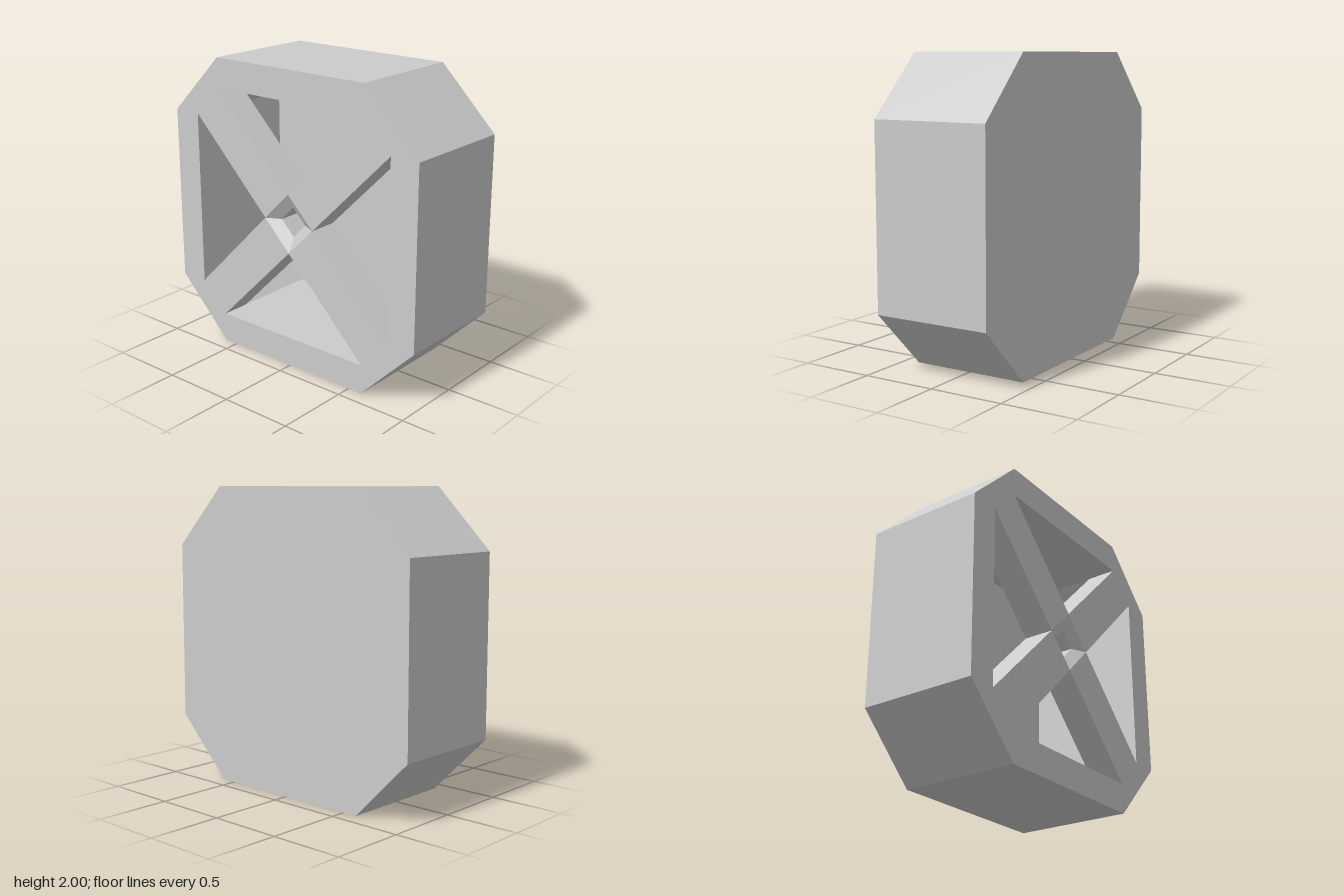
import * as THREE from 'three';

const HALF_DEPTH = 0.4;
const PLATE = 0.2; // thickness of the front cross

// Corners of a square with cut corners: half-width w, flat half-length f
const octagon = (w, f) => [
  [f, -w], [w, -f], [w, f], [f, w], [-f, w], [-w, f], [-w, -f], [-f, -w],
].map(([x, y]) => new THREE.Vector2(x, y));

export function createModel() {
  const group = new THREE.Group();
  const grey = new THREE.MeshStandardMaterial({ color: 0xcccccc, flatShading: true });
  const thin = new THREE.MeshStandardMaterial({ color: 0xcccccc, flatShading: true, side: THREE.DoubleSide });

  const add = (name, geometry, material = grey) => {
    const mesh = new THREE.Mesh(geometry, material);
    mesh.name = name;
    mesh.position.y = 1;
    group.add(mesh);
    return mesh;
  };

  // Hollow eight-sided rim, full depth
  const rimShape = new THREE.Shape(octagon(1, 0.6));
  rimShape.holes.push(new THREE.Path(octagon(0.8, 0.6)));
  const rim = new THREE.ExtrudeGeometry(rimShape, { depth: 2 * HALF_DEPTH, bevelEnabled: false });
  rim.translate(0, 0, -HALF_DEPTH);
  add('rim', rim);

  // Thin sheet closing the back
  const back = new THREE.ShapeGeometry(new THREE.Shape(octagon(0.8, 0.6)));
  back.translate(0, 0, -HALF_DEPTH);
  add('backPanel', back, thin);

  // Four diagonal bars of the front cross, from the hub to the rim's cut corners
  const inner = 0.1 * Math.SQRT2, outer = 0.7 * Math.SQRT2;
  for (let i = 0; i < 4; i++) {
    const bar = new THREE.BoxGeometry(outer - inner, 0.2 * Math.SQRT2, PLATE);
    bar.translate((inner + outer) / 2, 0, HALF_DEPTH - PLATE / 2);
    add('crossBar' + (i + 1), bar).rotation.z = Math.PI / 4 + i * Math.PI / 2;
  }

  // Diamond hub with a countersunk through-hole
  const profile = [[0.2, 0.4], [0.1, 0.35], [0.1, 0.2], [0.2, 0.2]];
  const hub = new THREE.LatheGeometry(profile.map(([r, z]) => new THREE.Vector2(r, z)), 4);
  hub.rotateX(Math.PI / 2);
  add('hub', hub);

  return group;
}
